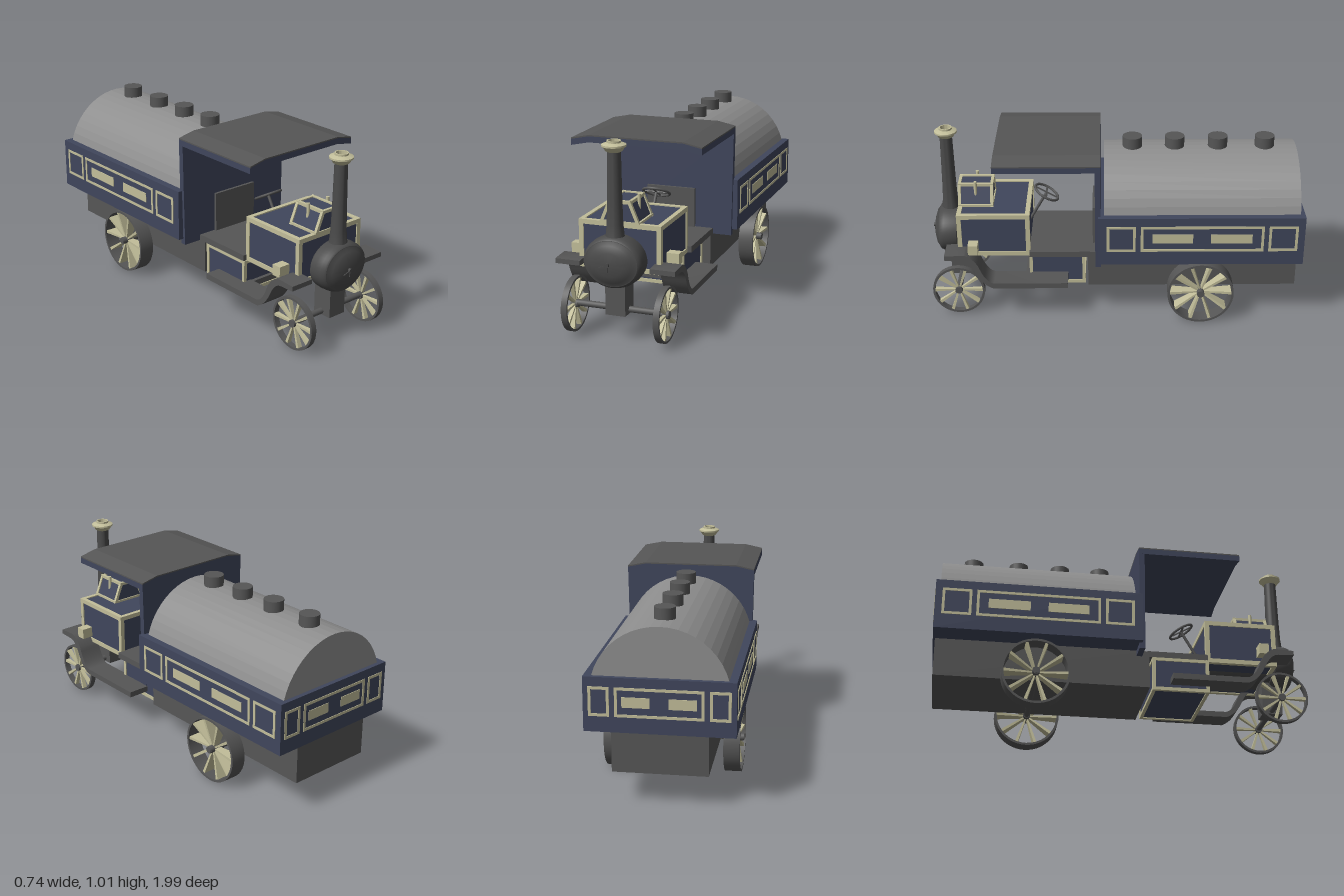
import * as THREE from 'three';
import { toCreasedNormals } from 'three/addons/utils/BufferGeometryUtils.js';

const mat = (name, color) => {
  const m = new THREE.MeshStandardMaterial({ color });
  m.name = name;
  return m;
};

export function createModel() {
  const navy = mat('navy paint', 0x40465c);
  const cream = mat('cream trim', 0xc2be9a);
  const iron = mat('dark iron', 0x565656);
  const black = mat('smokebox black', 0x4a4a4a);
  const grey = mat('tank grey', 0x8e8e8e);

  const model = new THREE.Group();
  const v = (x, y, z) => new THREE.Vector3(x, y, z);

  const add = (name, geo, material, x = 0, y = 0, z = 0, parent = model) => {
    const m = new THREE.Mesh(geo, material);
    m.name = name;
    m.position.set(x, y, z);
    parent.add(m);
    return m;
  };
  const group = (name, parent = model) => {
    const g = new THREE.Group();
    g.name = name;
    parent.add(g);
    return g;
  };
  // Box given by its limits
  const box = (name, material, x0, x1, y0, y1, z0, z1, parent = model) =>
    add(name, new THREE.BoxGeometry(x1 - x0, y1 - y0, z1 - z0), material,
      (x0 + x1) / 2, (y0 + y1) / 2, (z0 + z1) / 2, parent);
  // Square bar between two points
  const bar = (name, material, a, b, t, parent = model) => {
    const m = add(name, new THREE.BoxGeometry(t, t, a.distanceTo(b) + t), material, 0, 0, 0, parent);
    m.position.copy(a).lerp(b, 0.5);
    m.lookAt(b);
    return m;
  };
  const rod = (name, material, a, b, r, parent = model) => {
    const m = add(name, new THREE.CylinderGeometry(r, r, a.distanceTo(b), 16), material, 0, 0, 0, parent);
    m.position.copy(a).lerp(b, 0.5);
    m.quaternion.setFromUnitVectors(v(0, 1, 0), b.clone().sub(a).normalize());
    return m;
  };
  const lathe = (pts, seg = 40, crease = 0.6) => toCreasedNormals(
    new THREE.LatheGeometry(pts.map(p => new THREE.Vector2(...p)), seg), crease);
  const extrude = (pts, depth) => new THREE.ExtrudeGeometry(
    new THREE.Shape(pts.map(p => new THREE.Vector2(...p))), { depth, bevelEnabled: false });

  // Navy casing with cream bars along all twelve edges
  const framedCasing = (name, cx, wBottom, wTop, y0, y1, z0, z1, t) => {
    const g = group(name);
    const i = t / 2;
    const body = extrude([[-wBottom + 0.006, y0 + 0.006], [wBottom - 0.006, y0 + 0.006],
      [wTop - 0.006, y1 - 0.006], [-wTop + 0.006, y1 - 0.006]], z1 - z0 - 0.012);
    add(name + 'Panel', body, navy, cx, 0, z0 + 0.006, g);
    const corner = (s, top, z) => v(cx + s * ((top ? wTop : wBottom) - i), top ? y1 - i : y0 + i, z);
    const edge = (a, b) => bar(name + 'Edge', cream, a, b, t, g);
    for (const z of [z0 + i, z1 - i]) {
      for (const s of [-1, 1]) edge(corner(s, false, z), corner(s, true, z));
      for (const top of [false, true]) edge(corner(-1, top, z), corner(1, top, z));
    }
    for (const s of [-1, 1]) for (const top of [false, true])
      edge(corner(s, top, z0 + i), corner(s, top, z1 - i));
  };

  // Chassis, cab floor and seat back
  box('chassis', iron, -0.235, 0.235, 0.17, 0.376, -0.985, 0.14);
  box('cabFloor', iron, -0.235, 0.235, 0.345, 0.378, 0.13, 0.455);
  box('seatBack', iron, -0.135, 0.135, 0.375, 0.59, 0.09, 0.115);

  // Rear body with tank and hatches
  box('rearBody', navy, -0.367, 0.367, 0.376, 0.65, -0.996, 0.085);
  const tankGeo = new THREE.CylinderGeometry(0.34, 0.34, 1.026, 24, 1, false, Math.PI / 2, Math.PI).toNonIndexed();
  tankGeo.computeVertexNormals();
  add('tank', tankGeo, grey, 0, 0.56, -0.46).rotation.x = Math.PI / 2;
  for (const z of [-0.1, -0.325, -0.555, -0.805])
    add('tankHatch', new THREE.CylinderGeometry(0.052, 0.052, 0.085, 24), iron, 0, 0.913, z);

  // Cream lining, drawn flat facing +z and turned onto each face
  const lining = (name, frames, plates) => {
    const g = group(name);
    for (const [a, b] of frames) {
      const s = new THREE.Shape([[a, 0.455], [b, 0.455], [b, 0.603], [a, 0.603]].map(p => new THREE.Vector2(...p)));
      const t = 0.014;
      s.holes.push(new THREE.Path([[a + t, 0.469], [a + t, 0.589], [b - t, 0.589], [b - t, 0.469]]
        .map(p => new THREE.Vector2(...p))));
      add('liningFrame', new THREE.ExtrudeGeometry(s, { depth: 0.003, bevelEnabled: false }), cream, 0, 0, 0, g);
    }
    for (const [a, b] of plates) box('liningPlate', cream, a, b, 0.504, 0.556, 0, 0.003, g);
    return g;
  };
  const flip = list => list.map(([a, b]) => [-b, -a]);
  const frames = [[-0.04, 0.112], [0.138, 0.783], [0.808, 0.96]];
  const plates = [[0.2, 0.412], [0.505, 0.722]];
  const left = lining('leftLining', frames, plates);
  left.rotation.y = Math.PI / 2;
  left.position.x = 0.367;
  const right = lining('rightLining', flip(frames), flip(plates));
  right.rotation.y = -Math.PI / 2;
  right.position.x = -0.367;
  const back = lining('backLining', [[-0.342, -0.24], [-0.215, 0.215], [0.24, 0.342]], [[-0.18, -0.045], [0.045, 0.18]]);
  back.rotation.y = Math.PI;
  back.position.z = -0.996;

  // Cab wall and canopy
  const topLine = y => [[0.347, y - 0.02], [0.25, y], [-0.25, y], [-0.347, y - 0.02]];
  add('cabWall', extrude([[-0.338, 0.345], [0.338, 0.345], ...topLine(0.935)], 0.03), navy, 0, 0, 0.07);
  const canopy = (name, y0, y1, m) =>
    add(name, extrude([...topLine(y1), ...topLine(y0).reverse()], 0.555), m, 0, 0, 0.07);
  canopy('canopy', 0.922, 0.953, navy);
  canopy('canopyCover', 0.953, 0.96, iron);

  // Bonnet, top casing, firebox
  framedCasing('bonnet', 0, 0.215, 0.215, 0.345, 0.59, 0.45, 0.84, 0.024);
  framedCasing('topCasing', 0, 0.103, 0.06, 0.58, 0.7, 0.65, 0.84, 0.016);
  framedCasing('firebox', -0.02, 0.215, 0.215, 0.16, 0.346, 0.155, 0.46, 0.018);
  for (const s of [-1, 1])
    rod('safetyValve', cream, v(s * 0.067, 0.64, 0.745), v(s * 0.067, 0.717, 0.745), 0.009);

  // Boiler and domed smokebox
  rod('boiler', black, v(0, 0.415, 0.46), v(0, 0.415, 0.85), 0.112);
  const smokebox = add('smokebox', lathe([[0, 0], [0.135, 0], [0.15, 0.015], [0.154, 0.05], [0.152, 0.085], [0.145, 0.105],
    [0.136, 0.112], [0.132, 0.112], [0.11, 0.127], [0.07, 0.138], [0, 0.143]], 48), black, 0, 0.415, 0.84);
  smokebox.rotation.x = Math.PI / 2;
  smokebox.scale.z = 0.85;
  rod('doorBoss', black, v(-0.005, 0.418, 0.975), v(-0.005, 0.418, 0.995), 0.01);
  bar('doorHandle', black, v(-0.005, 0.418, 0.99), v(-0.045, 0.403, 0.988), 0.005);
  bar('doorHandle', black, v(-0.005, 0.418, 0.99), v(-0.005, 0.385, 0.988), 0.005);

  // Chimney with flared cap
  add('chimney', lathe([[0.055, 0.5], [0.046, 0.54], [0.04, 0.6], [0.037, 0.7], [0.033, 0.96], [0, 0.96]], 32),
    black, 0, 0, 0.893);
  add('chimneyCap', lathe([[0.033, 0.953], [0.042, 0.958], [0.05, 0.972], [0.06, 0.98], [0.06, 0.989], [0.048, 0.994],
    [0.035, 0.998], [0.035, 1.008], [0.028, 1.008], [0.028, 0.955]], 32), cream, 0, 0, 0.893);

  // Steering column and wheel
  const hub = v(0.012, 0.625, 0.365);
  const foot = v(0.012, 0.46, 0.46);
  rod('steeringColumn', iron, foot, hub, 0.008);
  const steering = add('steeringWheel', new THREE.TorusGeometry(0.07, 0.007, 8, 28), iron);
  steering.position.copy(hub);
  steering.lookAt(hub.clone().multiplyScalar(2).sub(foot));
  for (let i = 0; i < 2; i++)
    add('steeringSpoke', new THREE.BoxGeometry(0.14, 0.008, 0.006), iron, 0, 0, 0, steering).rotation.z = i * Math.PI / 2;

  // Mudguards running down into steps, with lamps
  const guard = new THREE.Shape();
  guard.moveTo(0.905, 0.37);
  guard.lineTo(0.905, 0.395);
  guard.lineTo(0.80, 0.4);
  guard.quadraticCurveTo(0.755, 0.385, 0.725, 0.33);
  guard.quadraticCurveTo(0.69, 0.23, 0.645, 0.226);
  guard.lineTo(0.25, 0.226);
  guard.lineTo(0.25, 0.195);
  guard.lineTo(0.65, 0.195);
  guard.quadraticCurveTo(0.71, 0.215, 0.75, 0.305);
  guard.quadraticCurveTo(0.78, 0.365, 0.82, 0.367);
  const guardGeo = toCreasedNormals(new THREE.ExtrudeGeometry(guard, { depth: 0.13, bevelEnabled: false }), 0.6);
  for (const s of [-1, 1]) {
    add('mudguard', guardGeo, iron, s < 0 ? -0.185 : 0.31, 0, 0).rotation.y = -Math.PI / 2;
    box('headlamp', cream, s * 0.252 - 0.032, s * 0.252 + 0.032, 0.385, 0.443, 0.728, 0.78);
  }
  box('stepCrossbeam', iron, -0.2, 0.2, 0.195, 0.226, 0.46, 0.48);

  // Spoked wheels: broad thin tyre, tapered blade spokes, hub
  const wheel = (name, x, y, z, r, w) => {
    const g = group(name);
    g.position.set(x, y, z);
    const h = w / 2;
    add('tyre', lathe([[r - 0.012, -h], [r, -h], [r, h], [r - 0.012, h], [r - 0.012, -h]], 48), iron, 0, 0, 0, g)
      .rotation.z = Math.PI / 2;
    const blade = new THREE.BoxGeometry(w * 0.85, r - 0.022, 0.016);
    const p = blade.attributes.position;
    for (let i = 0; i < p.count; i++)
      if (p.getY(i) < 0) p.setXYZ(i, p.getX(i) * 0.5, p.getY(i), p.getZ(i) * 0.5);
    blade.translate(0, 0.01 + (r - 0.022) / 2, 0);
    blade.computeVertexNormals();
    for (let i = 0; i < 10; i++) add('spoke', blade, cream, 0, 0, 0, g).rotation.x = (i + 0.5) * Math.PI / 5;
    rod('hub', iron, v(-h - 0.004, 0, 0), v(h + 0.004, 0, 0), 0.02, g);
  };
  for (const s of [-1, 1]) {
    wheel('rearWheel', s * 0.307, 0.178, -0.465, 0.178, 0.083);
    wheel('frontWheel', s * 0.24, 0.15, 0.845, 0.141, 0.031);
  }
  rod('rearAxle', iron, v(-0.355, 0.18, -0.465), v(0.355, 0.18, -0.465), 0.018);
  rod('frontAxle', iron, v(-0.255, 0.155, 0.845), v(0.255, 0.155, 0.845), 0.016);
  box('frontAxleBlock', iron, -0.052, 0.052, 0.135, 0.33, 0.795, 0.905);

  return model;
}
